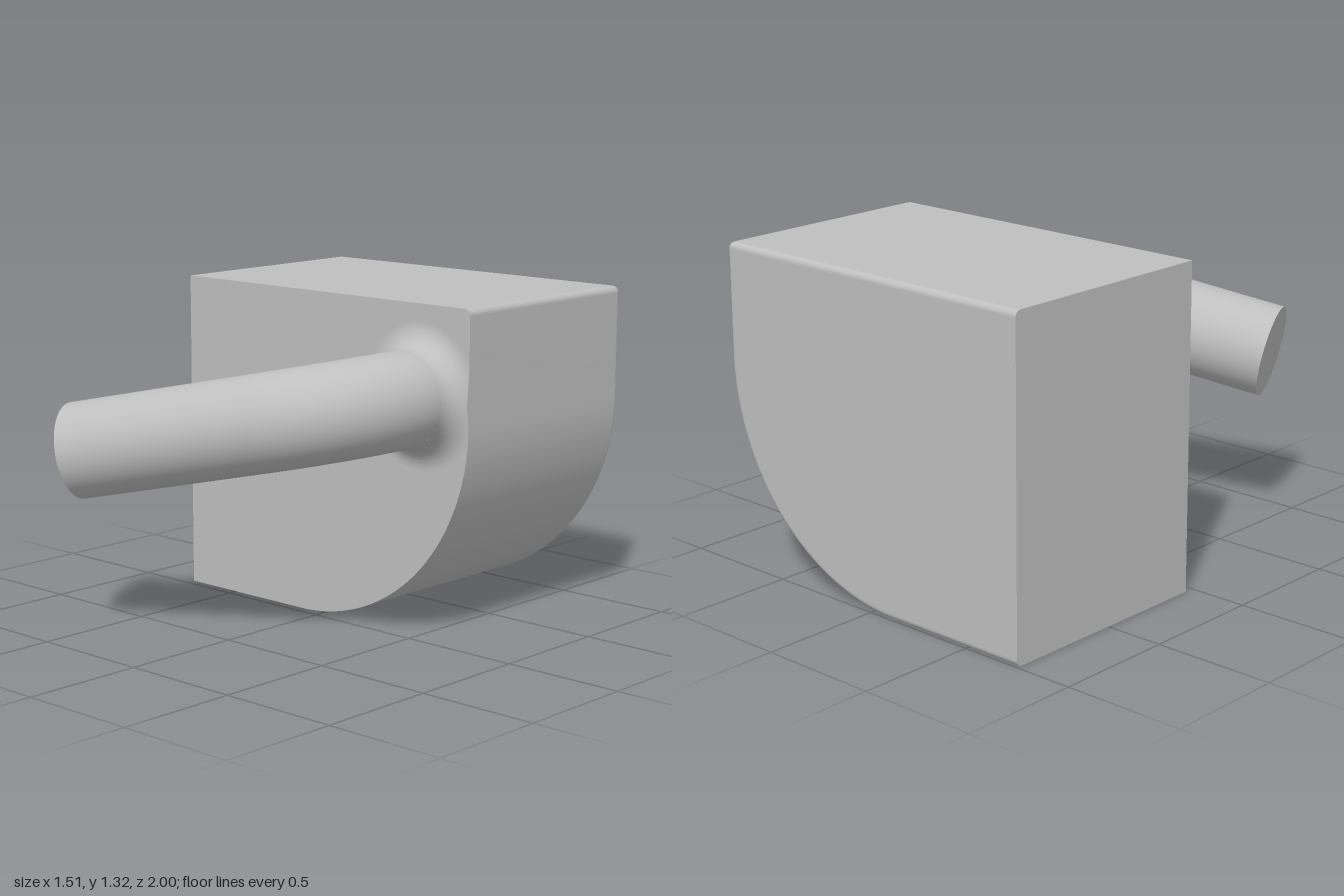
import * as THREE from 'three';
import { toCreasedNormals } from 'three/addons/utils/BufferGeometryUtils.js';

const HALF = 0.755, TOP = 1.32, FRONT = -0.04, BACK = -1;
const ARC = 0.87, CX = HALF - ARC, CORNER = 0.026, BEVEL = 0.025;
const PX = 0.51, PY = 0.96, PIPE = 0.19, FLARE = 0.1; // pipe root and radii

// Body outline, counter-clockwise, inset by d on every side but the left
function outline(d) {
  const pts = [[-HALF, d]];
  const arc = (cx, cy, r, a0, n) => {
    for (let i = 0; i <= n; i++) {
      const a = a0 + (i / n) * Math.PI / 2;
      pts.push([cx + r * Math.cos(a), cy + r * Math.sin(a)]);
    }
  };
  arc(CX, ARC, ARC - d, -Math.PI / 2, 64);
  arc(HALF - CORNER, TOP - CORNER, CORNER - d, 0, 6);
  pts.push([-HALF, TOP - d]);
  return pts;
}

// Body: outlines stacked from front to back, with a rounded back edge
function bodyGeometry() {
  const pos = [], idx = [], rings = [[0, FRONT]];
  for (let i = 0; i <= 6; i++) {
    const a = (i / 6) * Math.PI / 2;
    rings.push([BEVEL * (1 - Math.cos(a)), BACK + BEVEL * (1 - Math.sin(a))]);
  }
  let n = 0;
  for (const [d, z] of rings) {
    const o = outline(d);
    n = o.length;
    o.forEach(([x, y]) => pos.push(x, y, z));
  }
  const last = (rings.length - 1) * n;
  for (let k = 0; k < rings.length - 1; k++) {
    for (let i = 0; i < n; i++) {
      const j = (i + 1) % n, a = k * n + i, b = k * n + j;
      idx.push(a, a + n, b, b, a + n, b + n);
    }
  }
  for (let i = 1; i < n - 1; i++) {
    idx.push(0, i, i + 1, last, last + i + 1, last + i);
  }
  const g = new THREE.BufferGeometry();
  g.setAttribute('position', new THREE.Float32BufferAttribute(pos, 3));
  g.setIndex(idx);
  return toCreasedNormals(g, 0.1);
}

// Flared root of the pipe, trimmed where it would overhang the body's side
function flareGeometry() {
  const profile = [];
  for (let i = 0; i <= 24; i++) {
    const a = (i / 24) * Math.PI / 2;
    profile.push(new THREE.Vector2(PIPE + FLARE * (1 - Math.sin(a)), FLARE * (1 - Math.cos(a))));
  }
  const g = new THREE.LatheGeometry(profile, 128);
  g.rotateX(Math.PI / 2).translate(PX, PY, FRONT);
  const p = g.attributes.position;
  for (let i = 0; i < p.count; i++) {
    const dy = Math.min(0, p.getY(i) - ARC);
    p.setX(i, Math.min(p.getX(i), CX + Math.sqrt(ARC * ARC - dy * dy)));
  }
  return toCreasedNormals(g, 0.3);
}

// Pipe centre line: a circular bend, then a straight run
class PipePath extends THREE.Curve {
  constructor() {
    super();
    this.bend = 0.5;
    this.angle = 1.181;
    this.run = 0.783;
    this.side = new THREE.Vector3(-0.976, -0.217, 0).normalize();
  }
  at(u, z, x0, y0, z0, target) {
    return target.set(x0, y0, z0 + z).addScaledVector(this.side, u);
  }
  getPoint(t, target = new THREE.Vector3()) {
    const arcLen = this.bend * this.angle, s = t * (arcLen + this.run);
    const a = Math.min(s / this.bend, this.angle), rest = Math.max(0, s - arcLen);
    const u = this.bend * (1 - Math.cos(a)) + rest * Math.sin(a);
    const z = this.bend * Math.sin(a) + rest * Math.cos(a);
    return this.at(u, z, PX, PY, FRONT + FLARE, target);
  }
  getTangent(t, target = new THREE.Vector3()) {
    const s = t * (this.bend * this.angle + this.run);
    const a = Math.min(s / this.bend, this.angle);
    return this.at(Math.sin(a), Math.cos(a), 0, 0, 0, target);
  }
}

export function createModel() {
  const group = new THREE.Group();
  const grey = new THREE.MeshStandardMaterial({ color: 0xbfbfbf });
  grey.name = 'grey';
  const add = (name, geometry) => {
    const mesh = new THREE.Mesh(geometry, grey);
    mesh.name = name;
    group.add(mesh);
    return mesh;
  };

  add('body', bodyGeometry());
  add('pipeFlare', flareGeometry());

  const path = new PipePath();
  add('pipe', new THREE.TubeGeometry(path, 80, PIPE, 64));

  // Flat disc closing the free end
  const cap = add('pipeEnd', new THREE.CircleGeometry(PIPE, 64));
  cap.position.copy(path.getPoint(1));
  cap.quaternion.setFromUnitVectors(new THREE.Vector3(0, 0, 1), path.getTangent(1));
  return group;
}
